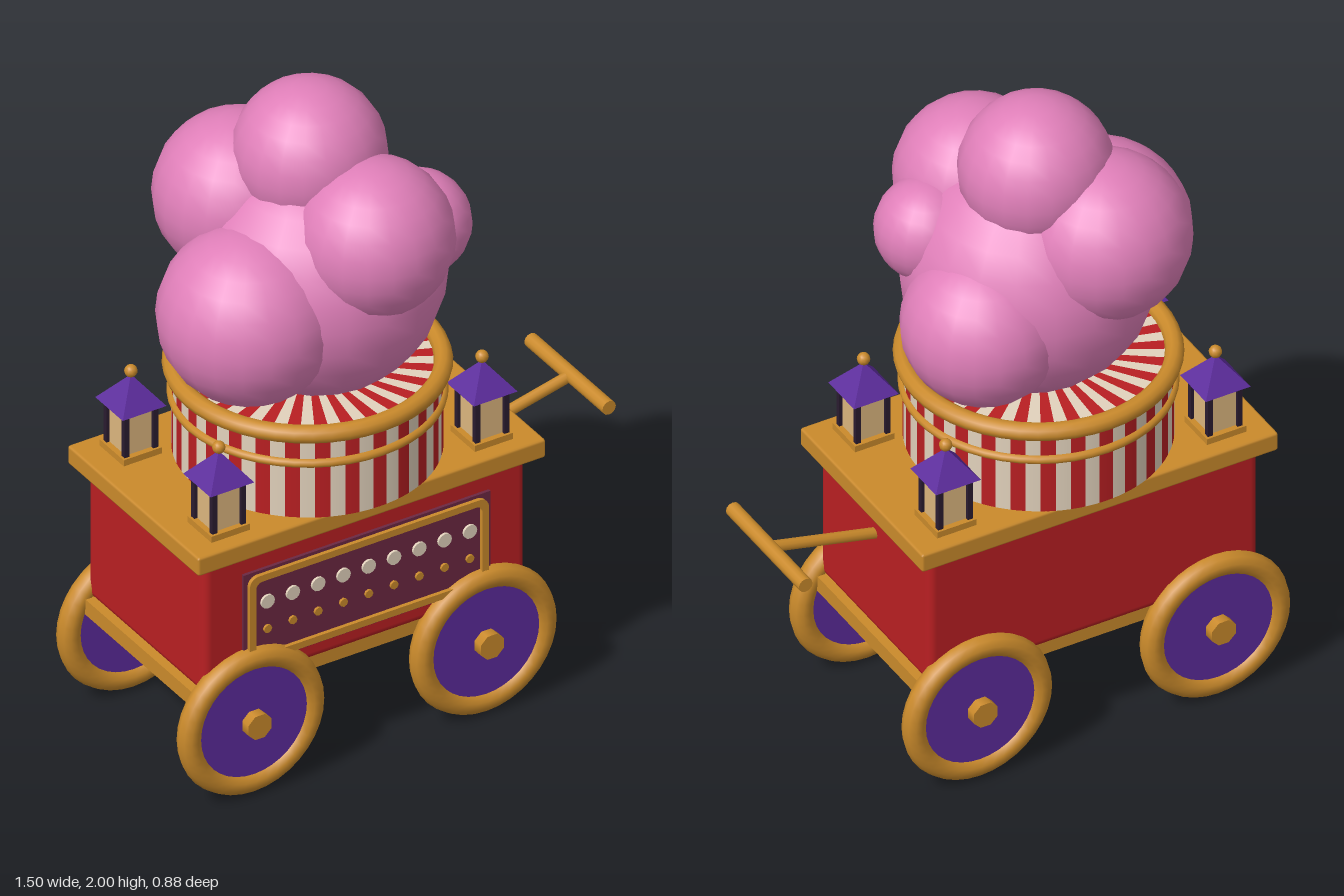
import * as THREE from 'three';
import { mergeGeometries } from 'three/addons/utils/BufferGeometryUtils.js';
import { RoundedBoxGeometry } from 'three/addons/geometries/RoundedBoxGeometry.js';

const mat = (name, color) => {
  const m = new THREE.MeshStandardMaterial({ color });
  m.name = name;
  return m;
};

const CX = -0.135, CZ = -0.012; // centre of the cart body

// rounded rectangle outline centred on the origin
function roundedRect(Type, w, h, r) {
  const p = new Type(), x = w / 2, y = h / 2;
  p.absarc(x - r, y - r, r, 0, Math.PI / 2);
  p.absarc(-x + r, y - r, r, Math.PI / 2, Math.PI);
  p.absarc(-x + r, -y + r, r, Math.PI, Math.PI * 1.5);
  p.absarc(x - r, -y + r, r, Math.PI * 1.5, Math.PI * 2);
  p.closePath();
  return p;
}

export function createModel() {
  const pink = mat('candy pink', 0xe07fb9), red = mat('cart red', 0xb91f22);
  const gold = mat('gold', 0xca8a2b), purple = mat('royal purple', 0x5c2b9c);
  const plum = mat('plum', 0x6c2842), cream = mat('cream', 0xe2d2bc);
  const pane = mat('lantern glow', 0xdcb67e), dark = mat('dark iron', 0x2a1c30);

  const model = new THREE.Group();
  const add = (name, geo, material, x = 0, y = 0, z = 0, parent = model) => {
    const m = new THREE.Mesh(geo, material);
    m.name = name;
    m.position.set(x, y, z);
    parent.add(m);
    return m;
  };

  // cart body
  add('chassis', new THREE.BoxGeometry(1.09, 0.05, 0.565), gold, CX, 0.335, CZ);
  add('cartBody', new RoundedBoxGeometry(1.05, 0.43, 0.607, 2, 0.025), red, CX, 0.57, CZ);
  add('counterTop', new RoundedBoxGeometry(1.135, 0.06, 0.68, 1, 0.008), gold, CX, 0.815, CZ);

  // decorated front panel
  const panelZ = 0.293, panelY = 0.565;
  add('panelBoard', new THREE.BoxGeometry(0.805, 0.305, 0.016), plum, CX, panelY, panelZ);
  const frame = roundedRect(THREE.Shape, 0.78, 0.285, 0.03);
  frame.holes.push(roundedRect(THREE.Path, 0.738, 0.243, 0.02));
  add('panelFrame', new THREE.ExtrudeGeometry(frame, { depth: 0.016, bevelEnabled: false, curveSegments: 4 }),
    gold, CX, panelY, panelZ + 0.004);
  for (let i = 0; i < 9; i++) {
    const x = -0.132 + (i - 4) * 0.0825;
    const bulb = new THREE.CylinderGeometry(0.022, 0.022, 0.009, 12).rotateX(Math.PI / 2);
    const stud = new THREE.CylinderGeometry(0.013, 0.013, 0.009, 8).rotateX(Math.PI / 2);
    add('panelBulb', bulb, cream, x, 0.61, panelZ + 0.011);
    add('panelStud', stud, gold, x, 0.52, panelZ + 0.011);
  }

  // wheels
  for (const x of [-0.515, 0.243]) {
    for (const side of [1, -1]) {
      const wheel = new THREE.Group();
      wheel.name = 'wheel';
      wheel.position.set(x, 0.238, CZ + side * 0.312);
      add('tyre', new THREE.TorusGeometry(0.201, 0.034, 10, 36), gold, 0, 0, 0, wheel);
      add('wheelDisc', new THREE.CylinderGeometry(0.198, 0.198, 0.036, 32).rotateX(Math.PI / 2), purple, 0, 0, 0, wheel);
      add('hub', new THREE.CylinderGeometry(0.041, 0.041, 0.1, 8).rotateY(Math.PI / 8).rotateX(Math.PI / 2),
        gold, 0, 0, 0, wheel);
      model.add(wheel);
    }
  }

  // pull handle
  const from = new THREE.Vector3(0.36, 0.68, CZ), to = new THREE.Vector3(0.725, 0.765, CZ);
  const shaft = add('handleShaft', new THREE.CylinderGeometry(0.017, 0.017, from.distanceTo(to), 10), gold);
  shaft.position.copy(from).lerp(to, 0.5);
  shaft.quaternion.setFromUnitVectors(new THREE.Vector3(0, 1, 0), to.clone().sub(from).normalize());
  add('handleBar', new THREE.CylinderGeometry(0.022, 0.022, 0.405, 12).rotateX(Math.PI / 2), gold, 0.727, 0.767, -0.016);

  // striped drum made of alternating sectors
  const drumX = -0.135, drumZ = -0.008, pairs = 28, step = Math.PI / pairs;
  [['drumRedStripes', red], ['drumCreamStripes', cream]].forEach(([name, material], k) => {
    const sectors = [];
    for (let i = 0; i < pairs; i++) {
      sectors.push(new THREE.CylinderGeometry(0.376, 0.376, 0.275, 2, 1, false, (2 * i + k - 0.5) * step, step));
    }
    add(name, mergeGeometries(sectors), material, drumX, 0.982, drumZ);
  });
  const ring = (tube) => new THREE.TorusGeometry(0.376, tube, 10, 48).rotateX(Math.PI / 2);
  add('drumRim', ring(0.027), gold, drumX, 1.12, drumZ);
  add('drumBand', ring(0.014), gold, drumX, 1.025, drumZ);

  // corner lanterns
  for (const x of [-0.565, 0.294]) {
    for (const z of [0.215, -0.24]) {
      const lantern = new THREE.Group();
      lantern.name = 'lantern';
      lantern.position.set(x, 0.845, z);
      add('lanternBase', new THREE.BoxGeometry(0.125, 0.02, 0.125), gold, 0, 0.01, 0, lantern);
      add('lanternGlass', new THREE.BoxGeometry(0.09, 0.14, 0.09), pane, 0, 0.09, 0, lantern);
      for (const px of [-1, 1]) {
        for (const pz of [-1, 1]) {
          add('lanternPost', new THREE.BoxGeometry(0.016, 0.14, 0.016), dark, px * 0.047, 0.09, pz * 0.047, lantern);
        }
      }
      const roof = new THREE.ConeGeometry(0.101, 0.09, 4, 1).rotateY(Math.PI / 4).toNonIndexed();
      roof.computeVertexNormals();
      add('lanternRoof', roof, purple, 0, 0.203, 0, lantern);
      add('lanternFinial', new THREE.SphereGeometry(0.019, 10, 8), gold, 0, 0.26, 0, lantern);
      model.add(lantern);
    }
  }

  // candy floss cloud: x, y, z, radius
  const puffs = [
    [-0.11, 1.43, 0, 0.365],
    [-0.11, 1.78, -0.038, 0.22],
    [-0.055, 1.62, 0.207, 0.23],
    [-0.375, 1.4, 0.07, 0.26],
    [0.1, 1.37, -0.113, 0.234],
    [0.138, 1.557, 0.13, 0.152],
    [-0.24, 1.607, -0.197, 0.243],
  ];
  for (const [x, y, z, r] of puffs) {
    add('flossPuff', new THREE.SphereGeometry(r, 20, 14), pink, x, y, z);
  }

  return model;
}
